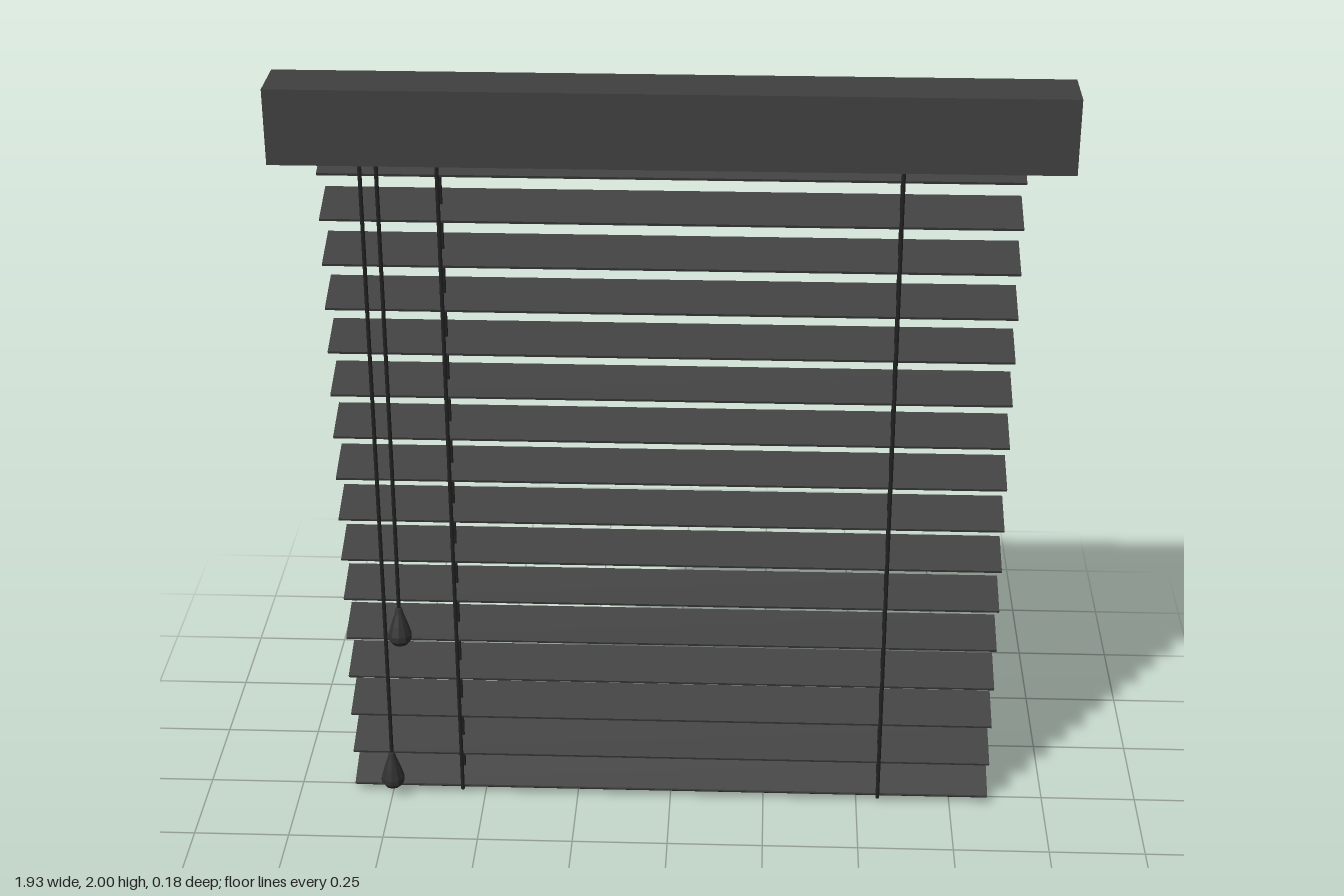
import * as THREE from 'three';

const slatMat = new THREE.MeshStandardMaterial({ color: 0x404040 });
const cordMat = new THREE.MeshStandardMaterial({ color: 0x222222 });
const tasselMat = new THREE.MeshStandardMaterial({ color: 0x303030, flatShading: true });

export function createModel() {
  const root = new THREE.Group();
  root.name = 'venetianBlind';

  const add = (name, geometry, material, x = 0, y = 0, z = 0) => {
    const mesh = new THREE.Mesh(geometry, material);
    mesh.name = name;
    mesh.position.set(x, y, z);
    root.add(mesh);
    return mesh;
  };

  // Round cord running through a list of [x, y, z] points
  const cord = (name, radius, ...points) => {
    const curve = new THREE.CatmullRomCurve3(points.map((p) => new THREE.Vector3(...p)));
    return add(name, new THREE.TubeGeometry(curve, 12, radius, 6), cordMat);
  };

  // L-shaped head: thin top board and front valance
  add('topBoard', new THREE.BoxGeometry(1.934, 0.01, 0.145), slatMat, 0, 1.995, -0.0175);
  add('valance', new THREE.BoxGeometry(1.934, 0.18, 0.012), slatMat, 0, 1.9, 0.049);

  // Tilted slats, front edge low
  const slatGeometry = new THREE.BoxGeometry(1.702, 0.007, 0.122);
  for (let i = 0; i < 15; i++) {
    const slat = add('slat', slatGeometry, slatMat, 0, 0.152 + i * 0.1179, -0.018);
    slat.rotation.x = 0.335;
  }

  // Bottom rail: sloping flat top, rounded belly (profile x runs to the back)
  const profile = new THREE.Shape();
  profile.moveTo(-0.04, 0.034);
  profile.lineTo(0.07, 0.079);
  profile.quadraticCurveTo(0.077, 0.076, 0.077, 0.055);
  profile.quadraticCurveTo(0.076, 0.032, 0.062, 0.026);
  profile.lineTo(0.012, 0.006);
  profile.quadraticCurveTo(0, 0, -0.012, 0.008);
  profile.lineTo(-0.04, 0.029);
  const railGeometry = new THREE.ExtrudeGeometry(profile, {
    depth: 1.702, bevelEnabled: false, curveSegments: 5,
  });
  const rail = add('bottomRail', railGeometry, slatMat, -0.851, 0, 0);
  rail.rotation.y = Math.PI / 2;

  // Ladder cord in front of the slats and lift cord through them
  for (const x of [-0.56, 0.557]) {
    cord('ladderCord', 0.005, [x, 1.985, 0.041], [x, 1, 0.043], [x, 0.02, 0.041]);
    cord('liftCord', 0.0035, [x, 1.99, -0.019], [x, 1, -0.019], [x, 0.03, -0.019]);
  }

  // Pull cords ending in faceted teardrop tassels
  const tasselProfile = [
    [0, 0], [0.02, 0.003], [0.031, 0.017], [0.031, 0.031],
    [0.023, 0.058], [0.012, 0.09], [0.008, 0.106], [0, 0.108],
  ].map(([r, y]) => new THREE.Vector2(r, y));
  const tasselGeometry = new THREE.LatheGeometry(tasselProfile, 10);
  const pulls = [
    { x: -0.746, y: 0.035, z: 0.055, tilt: 0 },
    { x: -0.706, y: 0.483, z: 0.06, tilt: -0.06 },
  ];
  for (const { x, y, z, tilt } of pulls) {
    cord('pullCord', 0.005, [x, 1.985, 0.04], [x, 1.5, 0.043], [x, y + 0.4, 0.046], [x, y + 0.1, 0.053]);
    const tassel = add('tassel', tasselGeometry, tasselMat, x, y, z);
    tassel.rotation.x = tilt;
  }

  return root;
}
